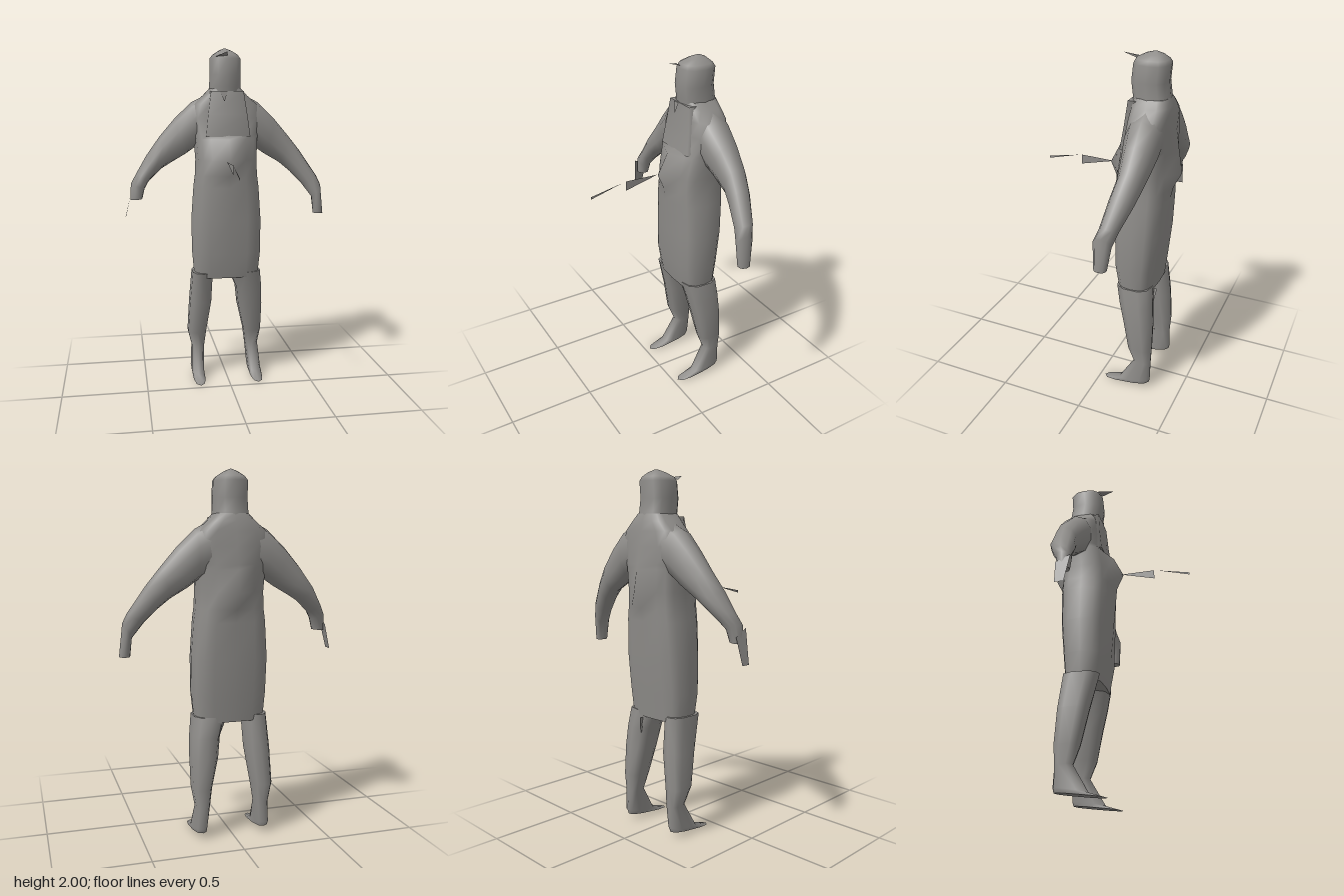
import * as THREE from 'three';

const cloth = new THREE.MeshStandardMaterial({ color: 0x8e8c89 });
cloth.name = 'warm grey';
const thinCloth = new THREE.MeshStandardMaterial({ color: 0x8e8c89, side: THREE.DoubleSide });
thinCloth.name = 'warm grey thin';

// Smooth skin over a list of rings (arrays of [x, y, z]), closed with flat end caps
function loft(name, rings) {
  const n = rings[0].length, pos = [], idx = [];
  rings.forEach(r => r.forEach(p => pos.push(...p)));
  for (let i = 0; i < rings.length - 1; i++) {
    for (let j = 0; j < n; j++) {
      const k = (j + 1) % n, a = i * n + j, b = i * n + k;
      idx.push(a, b, b + n, a, b + n, a + n);
    }
  }
  [[rings[0], true], [rings[rings.length - 1], false]].forEach(([r, first]) => {
    const base = pos.length / 3;
    r.forEach(p => pos.push(...p));
    for (let j = 1; j < n - 1; j++) {
      if (first) idx.push(base, base + j + 1, base + j);
      else idx.push(base, base + j, base + j + 1);
    }
  });
  // Turn the faces outward when the signed volume is negative
  let volume = 0;
  const v = i => new THREE.Vector3(pos[i * 3], pos[i * 3 + 1], pos[i * 3 + 2]);
  for (let i = 0; i < idx.length; i += 3) volume += v(idx[i]).dot(v(idx[i + 1]).cross(v(idx[i + 2])));
  if (volume < 0) idx.reverse();
  const g = new THREE.BufferGeometry();
  g.setAttribute('position', new THREE.Float32BufferAttribute(pos, 3));
  g.setIndex(idx);
  g.computeVertexNormals();
  const mesh = new THREE.Mesh(g, cloth);
  mesh.name = name;
  return mesh;
}

// Thin loose triangles
function sheet(name, points) {
  const g = new THREE.BufferGeometry();
  g.setAttribute('position', new THREE.Float32BufferAttribute(points.flat(), 3));
  g.computeVertexNormals();
  const mesh = new THREE.Mesh(g, thinCloth);
  mesh.name = name;
  return mesh;
}

const soft = (v, p) => Math.sign(v) * Math.pow(Math.abs(v), p);

// Level ring: x and z limits, rear height, squareness and extra reach of the centre ridges
function levelRing(n, y, x0, x1, zf, zb, yBack = y, p = 0.8, peakF = 0, peakB = 0) {
  return Array.from({ length: n }, (_, j) => {
    const t = j / n * Math.PI * 2, s = soft(Math.sin(t), p), c = soft(Math.cos(t), p);
    const ridge = j === 0 ? peakF : j === n / 2 ? -peakB : 0;
    return [(x0 + x1) / 2 + s * (x1 - x0) / 2, yBack + (y - yBack) * (c + 1) / 2,
      (zf + zb) / 2 + c * (zf - zb) / 2 + ridge];
  });
}

// Arm ring between an upper and a lower outline point
function armRing([ux, uy, lx, ly, zf, zb]) {
  return Array.from({ length: 10 }, (_, j) => {
    const t = j / 10 * Math.PI * 2, c = Math.cos(t), s = soft(Math.sin(t), 0.85);
    return [(ux + lx) / 2 + c * (ux - lx) / 2, (uy + ly) / 2 + c * (uy - ly) / 2,
      (zf + zb) / 2 + s * (zf - zb) / 2];
  });
}

export function createModel() {
  const model = new THREE.Group();
  model.name = 'apronedFigure';

  // Torso with apron skirt, pointed belly and ridged back: y, half width, front, back, ridges
  model.add(loft('torso', [
    [0.65, 0.195, -0.09, -0.30, 0, 0],
    [0.80, 0.208, -0.065, -0.315, 0, 0],
    [1.00, 0.210, -0.06, -0.335, 0.01, 0],
    [1.20, 0.195, -0.055, -0.345, 0.02, 0],
    [1.27, 0.185, -0.055, -0.345, 0.025, 0.015],
    [1.36, 0.182, -0.06, -0.345, 0.07, 0.06],
    [1.48, 0.190, -0.085, -0.345, 0.035, 0.04],
    [1.505, 0.195, -0.105, -0.345, 0, 0.035],
    [1.60, 0.215, -0.12, -0.345, 0, 0.02],
    [1.68, 0.190, -0.13, -0.345, 0, 0.005],
    [1.73, 0.130, -0.13, -0.34, 0, 0],
    [1.77, 0.092, -0.135, -0.325, 0, 0],
  ].map(([y, w, f, b, pf, pb]) => levelRing(16, y, -w, w, f, b, y, 0.65, pf, pb))));

  // Apron bib on the chest
  model.add(loft('bib', [
    [1.495, 0.13, -0.095], [1.62, 0.115, -0.112], [1.755, 0.095, -0.125],
  ].map(([y, w, f]) => [[-w, y, f], [w, y, f], [w, y, f - 0.07], [-w, y, f - 0.07]])));

  // Head with a low domed crown
  model.add(loft('head', [
    [1.72, 0.098, -0.13, -0.335],
    [1.78, 0.094, -0.125, -0.325],
    [1.85, 0.092, -0.115, -0.315],
    [1.94, 0.092, -0.125, -0.322],
    [1.962, 0.075, -0.135, -0.31],
    [1.985, 0.04, -0.18, -0.28],
    [2.0, 0.006, -0.23, -0.245],
  ].map(([y, w, f, b]) => levelRing(12, y, -w, w, f, b, y, 0.8))));

  // Pointed cap peak
  model.add(sheet('capPeak', [
    [-0.065, 1.95, -0.14], [-0.01, 1.975, -0.055], [0.0, 1.965, -0.13],
    [-0.065, 1.95, -0.14], [0.0, 1.955, -0.13], [-0.01, 1.975, -0.055],
  ]));

  // Small knot at the neck
  model.add(sheet('neckTie', [
    [-0.045, 1.755, -0.118], [-0.02, 1.695, -0.108], [0.0, 1.755, -0.118],
  ]));

  // Arms: upper x, y, lower x, y, front z, back z
  const upperArm = [
    [0.10, 1.74, 0.12, 1.46, -0.15, -0.335],
    [0.20, 1.69, 0.19, 1.42, -0.145, -0.34],
    [0.30, 1.595, 0.24, 1.385, -0.165, -0.33],
    [0.39, 1.49, 0.335, 1.33, -0.18, -0.315],
  ];
  const mirror = r => [-r[0], r[1], -r[2], r[3], r[4], r[5]];
  model.add(loft('leftArm', [...upperArm,
    [0.46, 1.40, 0.40, 1.275, -0.17, -0.295],
    [0.56, 1.25, 0.47, 1.20, -0.155, -0.255],
    [0.58, 1.20, 0.53, 1.12, -0.135, -0.235],
    [0.60, 1.02, 0.54, 1.02, -0.145, -0.215],
  ].map(armRing)));
  model.add(loft('rightArm', [...upperArm.map(mirror),
    [-0.47, 1.38, -0.385, 1.30, -0.165, -0.31],
    [-0.53, 1.28, -0.46, 1.23, -0.165, -0.27],
    [-0.565, 1.22, -0.485, 1.19, -0.155, -0.24],
    [-0.57, 1.125, -0.50, 1.13, -0.16, -0.225],
  ].map(armRing)));

  // Thin fingers of the right hand
  model.add(sheet('rightFingers', [
    [-0.56, 1.20, -0.15], [-0.565, 1.16, -0.23], [-0.60, 1.02, -0.17],
    [-0.565, 1.16, -0.23], [-0.60, 1.02, -0.22], [-0.60, 1.02, -0.17],
  ]));

  // Legs and feet: front y, inner x, outer x, front z, back z, rear y
  const foot = [
    [0.0, 0.14, 0.215, -0.03, -0.315, 0.035],
    [0.03, 0.14, 0.218, -0.13, -0.322, 0.06],
    [0.18, 0.13, 0.21, -0.22, -0.32, 0.18],
  ];
  const legs = {
    leftLeg: [
      [0.28, 0.115, 0.225, -0.18, -0.325],
      [0.45, 0.075, 0.227, -0.145, -0.32],
      [0.57, 0.06, 0.22, -0.115, -0.31],
      [0.68, 0.01, 0.207, -0.09, -0.30],
    ],
    rightLeg: [
      [0.28, 0.12, 0.235, -0.18, -0.325],
      [0.48, 0.09, 0.225, -0.14, -0.32],
      [0.68, 0.085, 0.21, -0.09, -0.30],
    ],
  };
  for (const [name, shaft] of Object.entries(legs)) {
    const side = name === 'leftLeg' ? 1 : -1;
    model.add(loft(name, [...foot, ...shaft].map(([y, a, b, f, k, yb = y]) =>
      levelRing(10, y, side * a, side * b, f, k, yb, 0.75))));
  }

  // Loose fold behind the left knee
  model.add(sheet('kneeFold', [
    [0.06, 0.64, -0.24], [0.115, 0.53, -0.24], [0.09, 0.52, -0.29],
    [0.06, 0.64, -0.24], [0.09, 0.52, -0.29], [0.07, 0.64, -0.31],
  ]));

  // Two floating slivers of a pointed tool ahead of the belly
  model.add(sheet('toolShaft', [
    [-0.02, 1.355, 0.0], [-0.02, 1.36, 0.2], [-0.02, 1.305, 0.2],
  ]));
  model.add(sheet('toolTip', [
    [-0.022, 1.355, 0.22], [-0.022, 1.318, 0.41], [-0.022, 1.304, 0.41],
  ]));

  return model;
}
